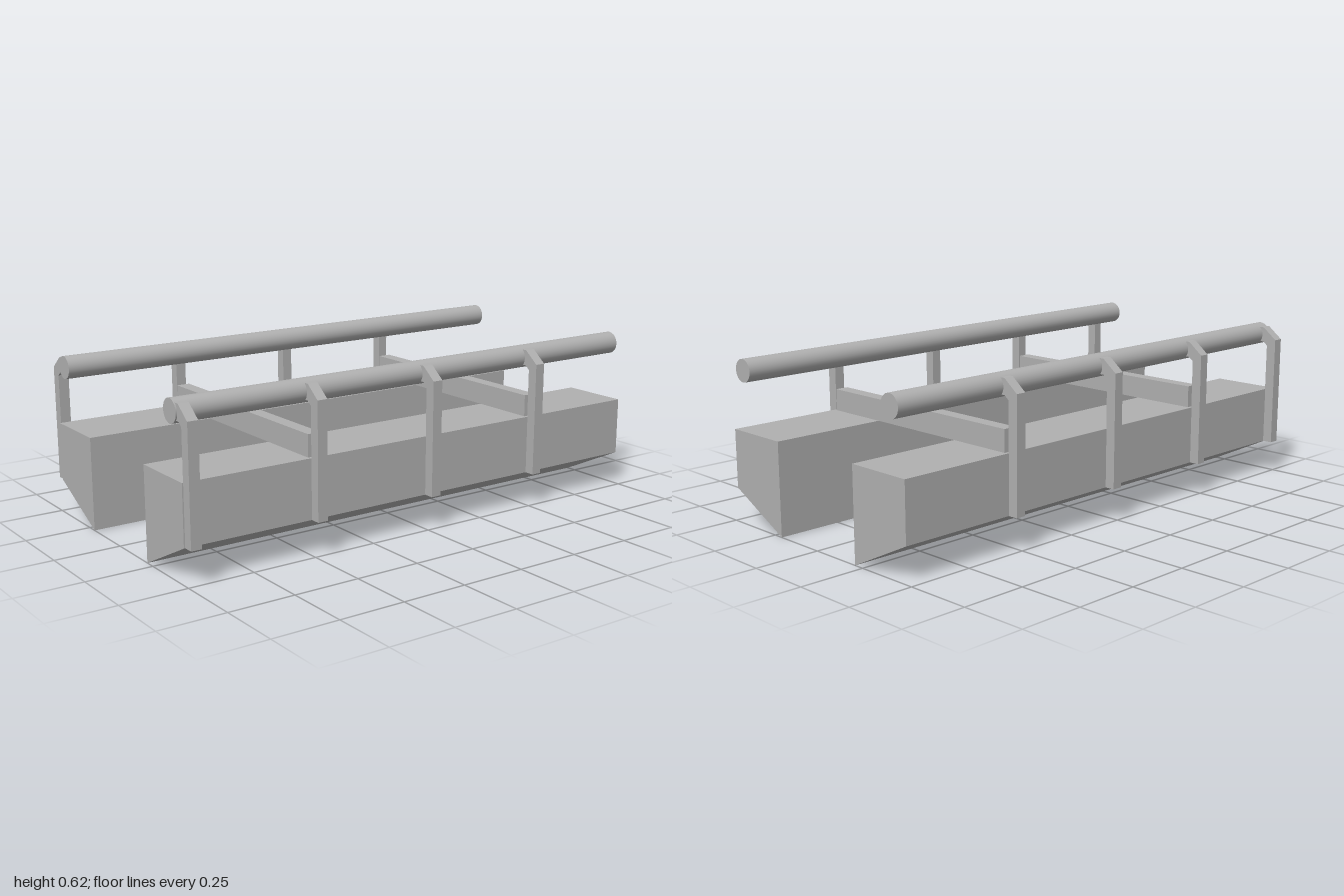
import * as THREE from 'three';

// Extrude an (x, y) outline along z, centred on zc; side = -1 mirrors it
function prism(points, side, depth, zc) {
  const shape = new THREE.Shape(points.map(([x, y]) => new THREE.Vector2(x * side, y)));
  const geo = new THREE.ExtrudeGeometry(shape, { depth, bevelEnabled: false });
  return geo.translate(0, 0, zc - depth / 2);
}

export function createModel() {
  const group = new THREE.Group();
  const grey = new THREE.MeshStandardMaterial({ color: 0xb0b0b0 });
  grey.name = 'plain grey';
  const add = (name, geo) => {
    const mesh = new THREE.Mesh(geo, grey);
    mesh.name = name;
    group.add(mesh);
    return mesh;
  };

  const hull = [[0.21, 0], [0.477, 0.13], [0.477, 0.352], [0.21, 0.352]];
  const post = [
    [0.476, 0.13], [0.516, 0.13], [0.516, 0.562], [0.457, 0.609],
    [0.425, 0.609], [0.425, 0.55], [0.458, 0.55], [0.476, 0.535],
  ];

  for (const side of [1, -1]) {
    const label = side > 0 ? 'left' : 'right';
    // Float with a sloping underside
    add(label + 'Float', prism(hull, side, 2, 0));
    // Round handrail
    const rail = new THREE.CylinderGeometry(0.043, 0.043, 2, 32).rotateX(Math.PI / 2);
    add(label + 'Rail', rail).position.set(0.409 * side, 0.577, 0);
    // Bent posts holding the rail
    for (const z of [0.975, 0.479, -0.022, -0.521]) {
      add(label + 'Post', prism(post, side, 0.04, z));
    }
  }

  // Beams joining the floats
  for (const z of [0.478, -0.522]) {
    add('crossBeam', new THREE.BoxGeometry(0.928, 0.083, 0.052)).position.set(0, 0.3935, z);
  }
  return group;
}
